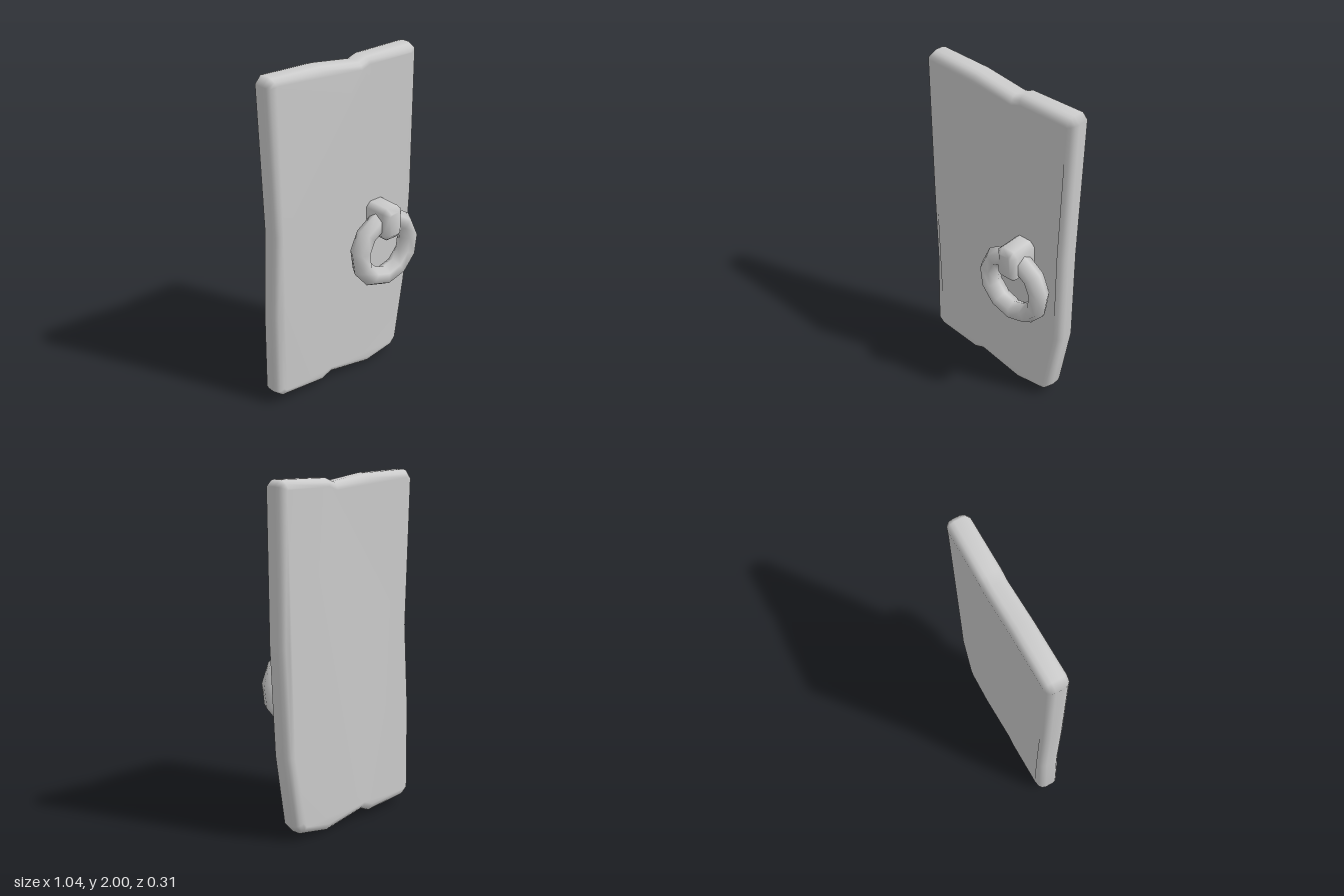
import * as THREE from 'three';
import { mergeVertices } from 'three/addons/utils/BufferGeometryUtils.js';

const material = new THREE.MeshStandardMaterial({ color: 0xcccccc });

// Extruded outline with rounded rims, centred in z, with smooth normals
function bevelledSlab(points, thickness, bevel, segments, reshape) {
  const shape = new THREE.Shape(points.map(([x, y]) => new THREE.Vector2(x, y)));
  let geometry = new THREE.ExtrudeGeometry(shape, {
    depth: thickness - 2 * bevel, steps: 1, curveSegments: 1,
    bevelEnabled: true, bevelThickness: bevel, bevelSize: bevel,
    bevelOffset: -bevel, bevelSegments: segments,
  });
  geometry.translate(0, 0, bevel - thickness / 2);
  geometry.deleteAttribute('uv');
  geometry.deleteAttribute('normal');
  geometry = mergeVertices(geometry, 1e-4);
  const p = geometry.attributes.position;
  if (reshape) for (let i = 0; i < p.count; i++) p.setZ(i, p.getZ(i) + reshape(p.getY(i)));
  geometry.computeVertexNormals();
  return geometry;
}

// Gentle warp of the plank: depth of its middle plane at each height
const warp = [[0, -0.083], [0.6, -0.087], [1.1, -0.068], [2.01, -0.078]];
function warpAt(y) {
  for (let i = 1; i < warp.length; i++) {
    const [y0, z0] = warp[i - 1], [y1, z1] = warp[i];
    if (y <= y1) return THREE.MathUtils.mapLinear(y, y0, y1, z0, z1);
  }
  return warp[warp.length - 1][1];
}

export function createModel() {
  const group = new THREE.Group();
  group.name = 'doorPlankWithRing';
  const add = (name, geometry, x = 0, y = 0, z = 0) => {
    const mesh = new THREE.Mesh(geometry, material);
    mesh.name = name;
    mesh.position.set(x, y, z);
    group.add(mesh);
    return mesh;
  };

  // Worn plank, outlined counter-clockwise from the lower left corner
  const outline = [
    [-0.475, 0.05], [-0.18, 0.027], [-0.115, 0.055], [0.175, 0.005],
    [0.375, 0.04], [0.42, 0.09], [0.487, 0.5], [0.502, 1.1], [0.52, 1.95],
    [0.485, 1.985], [0.155, 1.98], [0.1, 1.96], [-0.16, 1.993],
    [-0.485, 2], [-0.525, 1.955], [-0.505, 1.1], [-0.515, 0.6], [-0.523, 0.09],
  ];
  add('plank', bevelledSlab(outline, 0.136, 0.045, 3, warpAt));

  // Pull ring: six-sided tube in eleven segments, one corner straight down
  const ring = add('pullRing', new THREE.TorusGeometry(0.186, 0.06, 6, 11), 0.215, 0.836, 0.068);
  ring.rotation.z = -Math.PI / 2;

  // Chamfered block that holds the ring, sunk into the plank
  const w = 0.07, h = 0.1, c = 0.03;
  const block = [
    [-w + c, -h], [w - c, -h], [w, -h + c], [w, h - c],
    [w - c, h], [-w + c, h], [-w, h - c], [-w, -h + c],
  ];
  add('ringHolder', bevelledSlab(block, 0.2, 0.03, 1), 0.217, 1.015, 0.055);

  return group;
}
